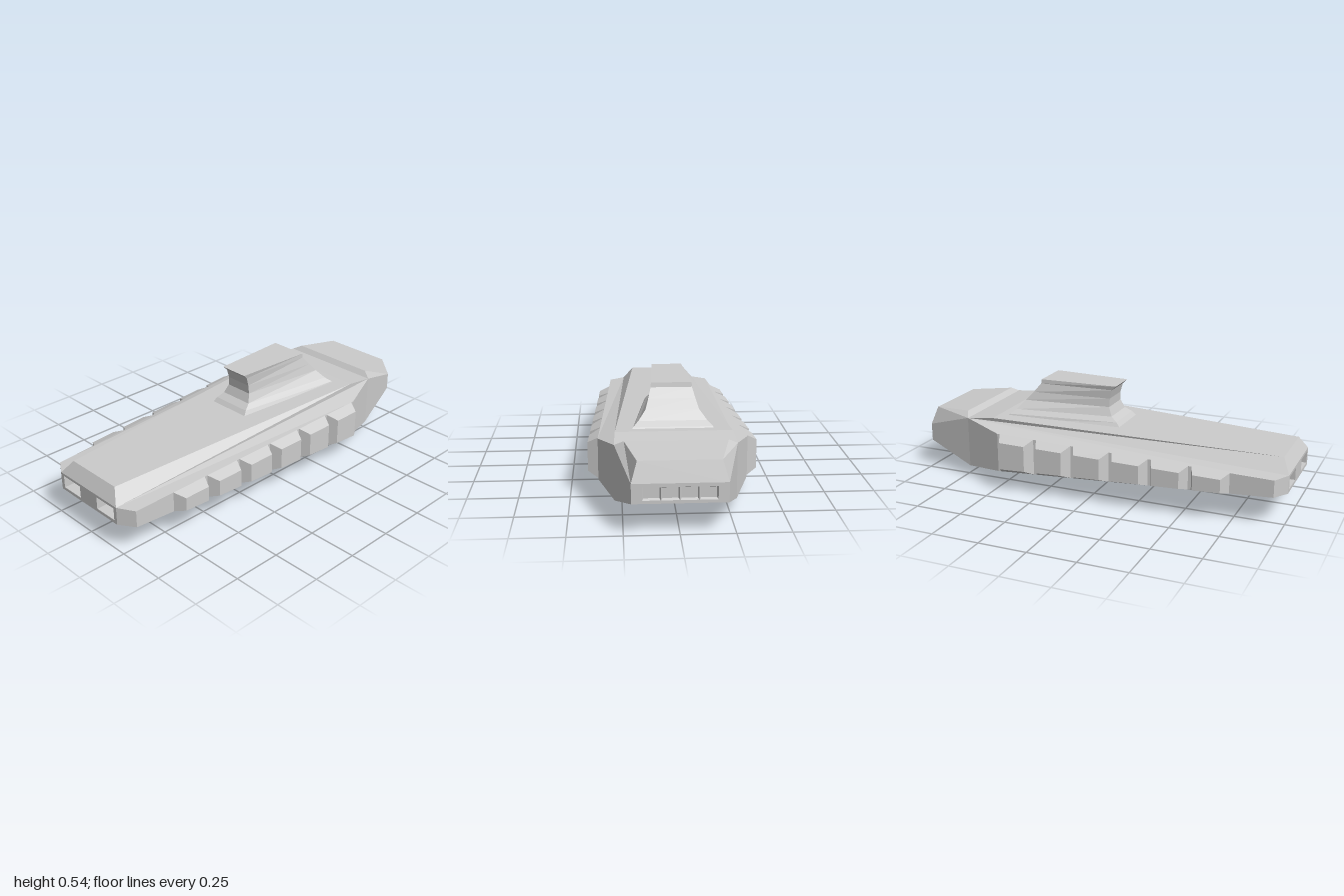
import * as THREE from 'three';

const material = new THREE.MeshStandardMaterial({ color: 0xcccccc, flatShading: true });

// Flat polygons turned to face away from (or, with sign -1, towards) a centre point
function polyMesh(name, polys, centre, sign = 1) {
  const pos = [];
  const c = new THREE.Vector3(...centre);
  for (const poly of polys) {
    const p = poly.map(v => new THREE.Vector3(...v));
    const mid = p.reduce((s, v) => s.add(v), new THREE.Vector3()).divideScalar(p.length);
    const n = new THREE.Vector3();
    for (let i = 1; i < p.length - 1; i++) {
      n.add(p[i].clone().sub(p[0]).cross(p[i + 1].clone().sub(p[0])));
    }
    if (n.dot(mid.sub(c)) * sign < 0) p.reverse();
    for (let i = 1; i < p.length - 1; i++) {
      for (const v of [p[0], p[i], p[i + 1]]) pos.push(v.x, v.y, v.z);
    }
  }
  const g = new THREE.BufferGeometry();
  g.setAttribute('position', new THREE.Float32BufferAttribute(pos, 3));
  g.computeVertexNormals();
  const mesh = new THREE.Mesh(g, material);
  mesh.name = name;
  return mesh;
}

const flip = ([x, y, z]) => [x, y, -z];
const withMirror = polys => [...polys, ...polys.map(p => p.map(flip))];
const across = (a, b) => [a, b, flip(b), flip(a)];
const lerp = THREE.MathUtils.lerp;

// Side bands between two matching rings of corners
function bands(a, b) {
  return a.map((p, i) => {
    const j = (i + 1) % a.length;
    return [p, a[j], b[j], b[i]];
  });
}

// Flat end wall with rectangular holes [z0, z1, y0, y1] and a recess behind each
function endWall(name, side, holes, inset, depth) {
  const group = new THREE.Group();
  group.name = name;
  const shape = new THREE.Shape([[-0.215, 0.147], [0.215, 0.147], [0.215, 0.24], [-0.215, 0.24]]
    .map(p => new THREE.Vector2(...p)));
  for (const [z0, z1, y0, y1] of holes) {
    shape.holes.push(new THREE.Path([[z0, y0], [z0, y1], [z1, y1], [z1, y0]]
      .map(p => new THREE.Vector2(...p))));
    const rect = (x, i) => [[x, y0 + i, z0 + i], [x, y0 + i, z1 - i], [x, y1 - i, z1 - i], [x, y1 - i, z0 + i]];
    const outer = rect(side, 0), inner = rect(side * (1 - depth), inset);
    const centre = [side * (1 - depth / 2), (y0 + y1) / 2, (z0 + z1) / 2];
    group.add(polyMesh(name + 'Recess', [...bands(outer, inner), inner], centre, -1));
  }
  const wall = new THREE.Mesh(new THREE.ShapeGeometry(shape).rotateY(side * Math.PI / 2).translate(side, 0, 0), material);
  wall.name = name + 'Frame';
  group.add(wall);
  return group;
}

export function createModel() {
  const model = new THREE.Group();

  // Hull corners on the +z half
  const deckA = [-0.96, 0.31, 0.16], deckB = [0.57, 0.347, 0.28];
  const rimA = [-1, 0.24, 0.215], rimB = [0.72, 0.33, 0.285];
  const sideA = [-0.95, 0.237, 0.298], sideB = [0.5, 0.295, 0.362];
  const lowA = [-0.95, 0.15, 0.298], lowB = [0.5, 0.088, 0.362];
  const baseA = [-1, 0.147, 0.215], baseB = [0.72, 0.06, 0.285];
  const noseTop = [1, 0.24, 0.215], noseLow = [1, 0.147, 0.215];
  const keel = [0.05, 0, 0];

  model.add(polyMesh('hull', [
    across(deckA, deckB), across(deckB, rimB), across(rimA, deckA),
    [keel, baseB, flip(baseB)], [keel, baseA, flip(baseA)], across(baseB, noseLow),
    ...withMirror([
      [deckA, deckB, rimB, rimA],
      [rimA, sideA, sideB, rimB],
      [sideA, sideB, lowB, lowA],
      [rimA, sideA, lowA, baseA],
      [sideB, rimB, baseB, lowB],
      [rimB, noseTop, noseLow, baseB],
      [keel, baseA, lowA], [keel, lowA, lowB], [keel, lowB, baseB],
    ]),
  ], [0, 0.2, 0]));

  // Raised block over the nose
  const blockBack = [0.745, 0.355, 0.24], blockFront = [0.97, 0.335, 0.187];
  model.add(polyMesh('noseBlock', [
    across(rimB, blockBack), across(blockBack, blockFront), across(blockFront, noseTop),
    ...withMirror([[rimB, blockBack, blockFront, noseTop]]),
  ], [0.86, 0.27, 0]));

  // End walls: four windows at the nose, two bays at the other end
  const windows = [-1.5, -0.5, 0.5, 1.5].map(k => [k * 0.084 - 0.041, k * 0.084 + 0.041, 0.162, 0.223]);
  model.add(endWall('noseWindows', 1, windows, 0.006, 0.015));
  model.add(endWall('rearBays', -1, [[-0.195, -0.065, 0.163, 0.227], [0.065, 0.195, 0.163, 0.227]], 0, 0.12));

  // Six tapered armour blocks along each side
  const hullAt = x => {
    const t = (x + 0.95) / 1.45;
    return { z: lerp(0.298, 0.362, t), low: lerp(0.15, 0.088, t), high: lerp(0.237, 0.295, t) };
  };
  const outerAt = x => {
    const t = (x + 0.7) / 1.18;
    return { z: lerp(0.363, 0.413, t), low: lerp(0.157, 0.12, t), high: lerp(0.226, 0.266, t) };
  };
  const ring = (x0, x1, at) => {
    const a = at(x0), b = at(x1);
    return [[x0, a.low, a.z], [x1, b.low, b.z], [x1, b.high, b.z], [x0, a.high, a.z]];
  };
  for (let i = 0; i < 6; i++) {
    const x0 = -0.735 + i * 0.206, x1 = x0 + 0.19;
    const inner = ring(x0, x1, hullAt), outer = ring(x0 + 0.03, x1 - 0.022, outerAt);
    const polys = [...bands(inner, outer), outer];
    const centre = [(x0 + x1) / 2, 0.19, hullAt(x0).z + 0.02];
    model.add(polyMesh('leftArmourBlock', polys, centre));
    model.add(polyMesh('rightArmourBlock', polys.map(p => p.map(flip)), flip(centre)));
  }

  // Flared tower: [y, narrow end x, wide end x, narrow half width, wide half width]
  const levels = [
    [0.325, -0.09, 0.54, 0.12, 0.205],
    [0.352, -0.065, 0.515, 0.108, 0.192],
    [0.375, -0.03, 0.487, 0.092, 0.166],
    [0.42, -0.01, 0.45, 0.076, 0.13],
    [0.465, -0.012, 0.41, 0.072, 0.115],
    [0.512, -0.025, 0.372, 0.074, 0.101],
    [0.535, -0.048, 0.368, 0.078, 0.1],
  ].map(([y, xa, xb, za, zb]) => [[xa, y, -za], [xb, y, -zb], [xb, y, zb], [xa, y, za]]);
  const towerFaces = [levels[levels.length - 1]];
  for (let i = 0; i < levels.length - 1; i++) towerFaces.push(...bands(levels[i], levels[i + 1]));
  model.add(polyMesh('tower', towerFaces, [0.2, 0.42, 0]));

  return model;
}
